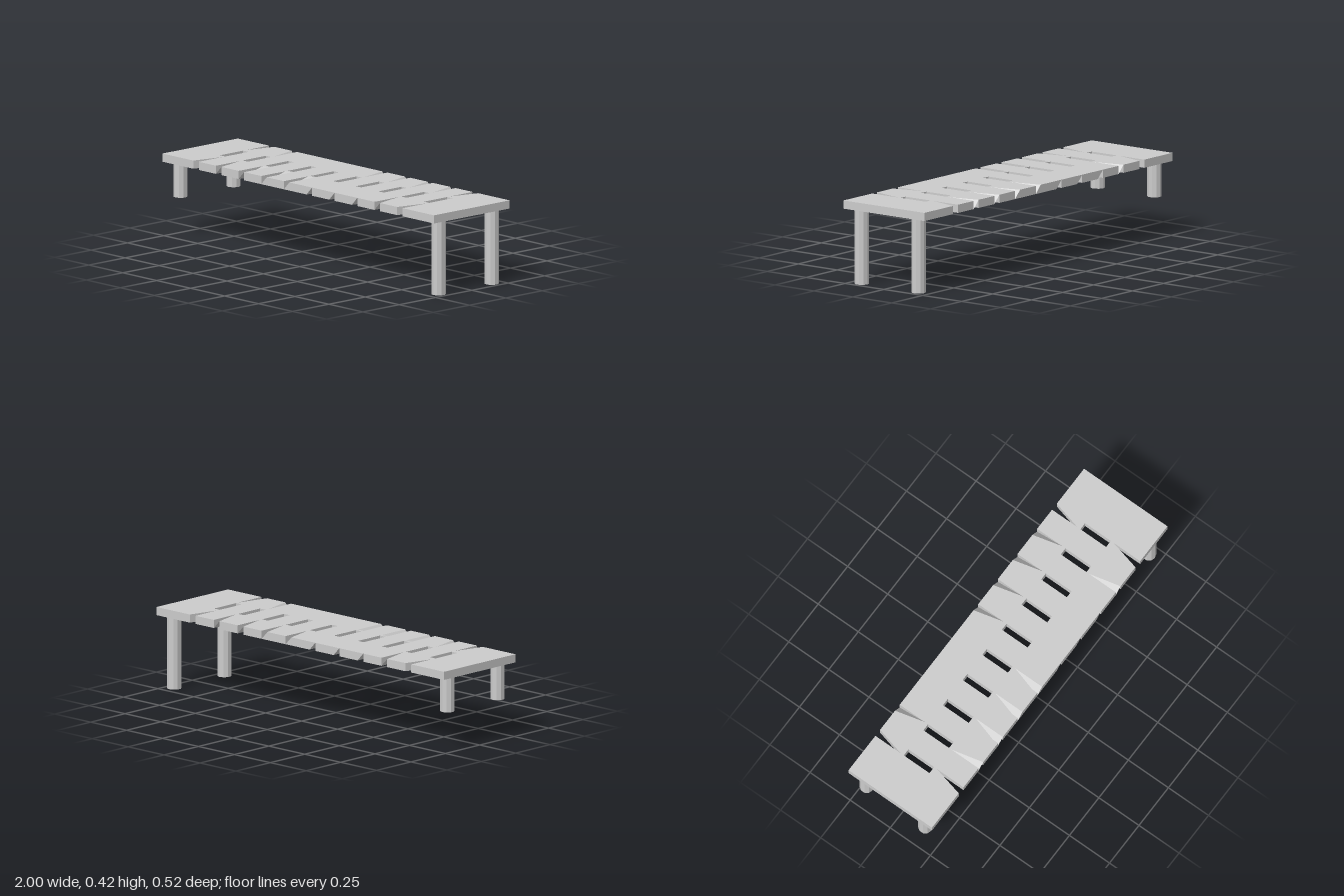
import * as THREE from 'three';

const material = new THREE.MeshStandardMaterial({ color: 0xcccccc, flatShading: true, side: THREE.DoubleSide });
const BOTTOM = 0.382, TOP = 0.424, EDGE = 0.26, HALF = 0.02;
const SLOTS = 10;
const slotX = (i) => -0.752 + i * 0.1667;
const innerZ = (side) => (side > 0 ? 0.092 : -0.102);

// Edge notch style, listed along the front; the back follows by half a turn
const STYLES = ['through', 'both', 'both', 'top', 'top', 'bottom', 'bottom', 'bottom', 'both', 'through'];
const styleAt = (i, side) => STYLES[side > 0 ? i : SLOTS - 1 - i];

// Plank outline with edge notches and a row of centre slots
function plankGeometry() {
  const points = [];
  const add = (x, z) => points.push(new THREE.Vector2(x, -z));
  for (const side of [1, -1]) {
    add(-side, side * EDGE);
    for (let k = 0; k < SLOTS; k++) {
      const i = side > 0 ? k : SLOTS - 1 - k;
      const x = slotX(i), h = side * HALF;
      add(x - h, side * EDGE);
      if (styleAt(i, side) !== 'through') add(x - h, innerZ(side));
      add(x + h, innerZ(side));
      add(x + h, side * EDGE);
    }
    add(side, side * EDGE);
  }
  const shape = new THREE.Shape(points);
  for (let i = 0; i < SLOTS; i++) {
    const l = slotX(i) - HALF, r = slotX(i) + HALF;
    shape.holes.push(new THREE.Path([[l, 0.083], [l, -0.077], [r, -0.077], [r, 0.083]].map((p) => new THREE.Vector2(...p))));
  }
  const geometry = new THREE.ExtrudeGeometry(shape, { depth: TOP - BOTTOM, bevelEnabled: false });
  return geometry.rotateX(-Math.PI / 2).translate(0, BOTTOM, 0);
}

// Sloped filling of a notch: one outer corner sinks, the other rises from below
function notchGeometry(x, side, style, flatInside) {
  const sunk = style !== 'bottom' ? BOTTOM : TOP;
  const raised = style !== 'top' ? TOP : BOTTOM;
  const l = x - side * HALF, r = x + side * HALF, o = side * EDGE, n = innerZ(side);
  const vertices = [
    l, sunk, o, r, TOP, o, r, TOP, n, l, TOP, n,
    l, BOTTOM, o, r, raised, o, r, BOTTOM, n, l, BOTTOM, n,
  ];
  const index = flatInside
    ? [0, 1, 3, 1, 2, 3, 4, 7, 5, 5, 7, 6]
    : [0, 1, 2, 0, 2, 3, 4, 6, 5, 4, 7, 6];
  if (style === 'top') index.push(4, 5, 1);
  if (style === 'bottom') index.push(4, 1, 0);
  const geometry = new THREE.BufferGeometry();
  geometry.setAttribute('position', new THREE.Float32BufferAttribute(vertices, 3));
  geometry.setIndex(index);
  const flat = geometry.toNonIndexed();
  flat.computeVertexNormals();
  return flat;
}

export function createModel() {
  const model = new THREE.Group();
  model.name = 'slottedBench';
  const add = (name, geometry) => {
    const mesh = new THREE.Mesh(geometry, material);
    mesh.name = name;
    model.add(mesh);
    return mesh;
  };

  add('plank', plankGeometry());
  for (const side of [1, -1]) {
    for (let i = 0; i < SLOTS; i++) {
      const style = styleAt(i, side);
      if (style === 'through') continue;
      const flatInside = side < 0 || i === 1 || i === SLOTS - 2;
      add('notchSlope', notchGeometry(slotX(i), side, style, flatInside));
    }
  }

  // Long legs on the left end, short legs on the right end
  for (const [name, x, foot] of [['longLeg', 0.95, 0], ['shortLeg', -0.95, 0.2]]) {
    for (const z of [0.182, -0.183]) {
      const leg = add(name, new THREE.CylinderGeometry(0.0365, 0.0365, BOTTOM - foot, 10));
      leg.position.set(x, (BOTTOM + foot) / 2, z);
    }
  }
  return model;
}
